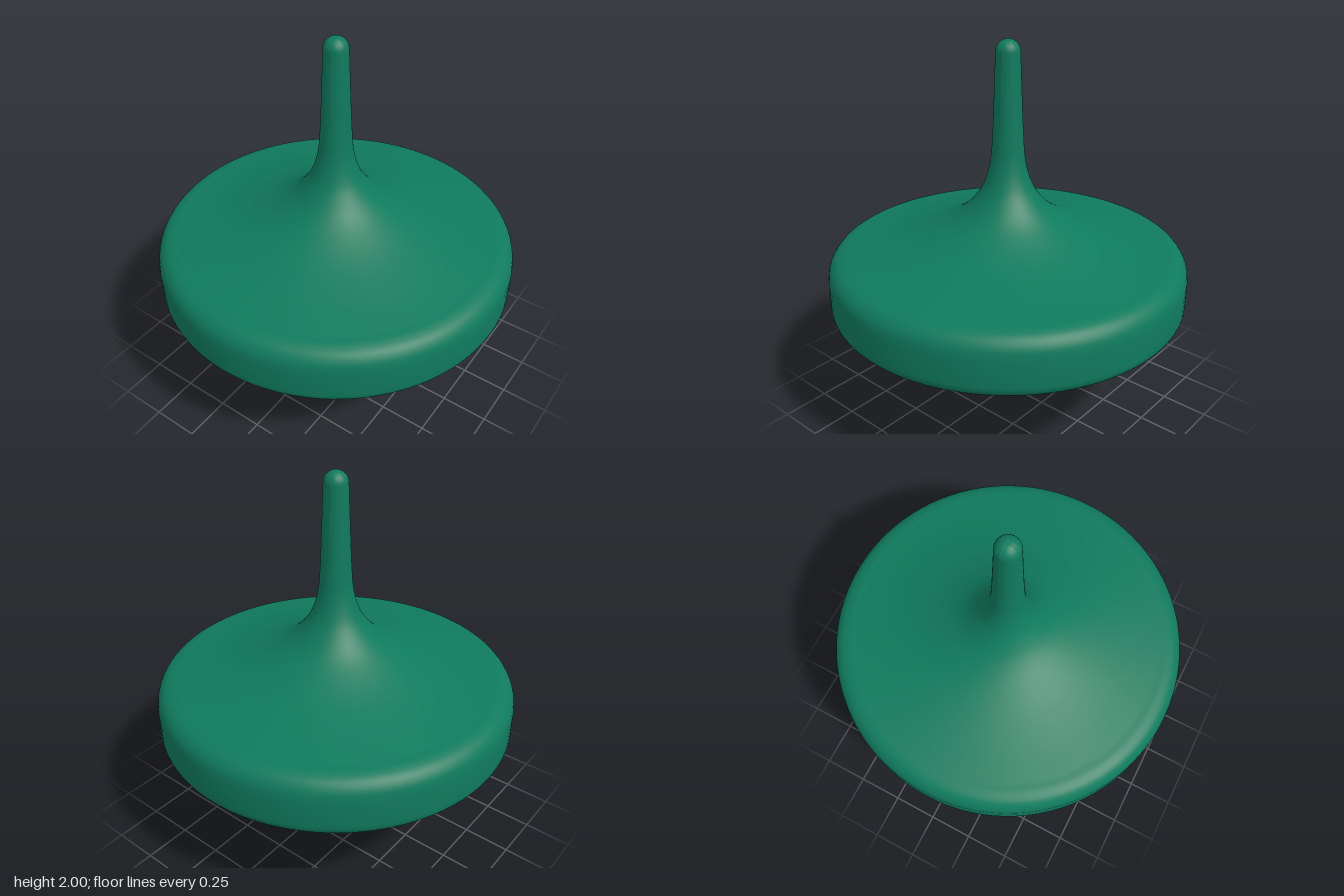
import * as THREE from 'three';
import { toCreasedNormals } from 'three/addons/utils/BufferGeometryUtils.js';

const SEGMENTS = 96;
const vectors = (pairs) => pairs.map(([r, y]) => new THREE.Vector2(r, y));
// smooth run of a profile through a few [radius, height] pairs
const smooth = (pairs, n) => new THREE.SplineCurve(vectors(pairs)).getPoints(n);
// rounded corner: quarter ellipse about (r, y)
const arc = (r, y, rx, ry, from, to, n = 10) =>
  new THREE.EllipseCurve(r, y, rx, ry, from, to, to < from).getPoints(n);

function turned(name, points, material) {
  // drop repeated points where runs meet
  const profile = points.filter((p, i) => i === 0 || p.distanceTo(points[i - 1]) > 1e-4);
  const geometry = toCreasedNormals(new THREE.LatheGeometry(profile, SEGMENTS), 0.6);
  const mesh = new THREE.Mesh(geometry, material);
  mesh.name = name;
  return mesh;
}

export function createModel() {
  const green = new THREE.MeshStandardMaterial({ color: 0x0f7a5c });
  green.name = 'green';
  const silver = new THREE.MeshStandardMaterial({ color: 0xbcbcbc });
  silver.name = 'silver';
  const top = new THREE.Group();
  top.name = 'spinningTop';

  // flywheel: neck, hollow underside, rounded rim, sweeping upper face and stem
  top.add(turned('flywheelAndStem', [
    ...smooth([[0.29, 0.47], [0.3, 0.54], [0.323, 0.6], [0.365, 0.66], [0.44, 0.71],
      [0.55, 0.735], [0.65, 0.725], [0.72, 0.685], [0.76, 0.625], [0.79, 0.597], [0.82, 0.593]], 50),
    ...arc(0.882, 0.663, 0.07, 0.07, -Math.PI / 2, 0),
    ...smooth([[0.952, 0.8], [0.942, 0.85], [0.912, 0.89], [0.87, 0.909], [0.83, 0.915]], 14),
    ...smooth([[0.83, 0.915], [0.65, 0.95], [0.47, 1.0], [0.33, 1.06], [0.23, 1.125], [0.155, 1.21],
      [0.115, 1.29], [0.09, 1.39], [0.079, 1.52], [0.071, 1.7], [0.062, 1.935]], 60),
    ...arc(0, 1.938, 0.062, 0.062, 0, Math.PI / 2),
  ], green));

  // flat metal washer with a bevelled lower edge
  top.add(turned('washer', vectors([[0.25, 0.405], [0.385, 0.405], [0.44, 0.424],
    [0.44, 0.487], [0.25, 0.487]]), silver));

  // concave foot below the washer
  top.add(turned('foot', [
    ...vectors([[0, 0.066], [0.07, 0.066]]),
    ...smooth([[0.07, 0.066], [0.092, 0.077], [0.105, 0.105], [0.132, 0.168], [0.18, 0.237],
      [0.24, 0.292], [0.32, 0.332], [0.355, 0.355], [0.371, 0.385], [0.373, 0.408]], 40),
    ...vectors([[0.2, 0.408]]),
  ], green));

  // ball point the top spins on
  const ball = new THREE.Mesh(new THREE.SphereGeometry(0.071, 40, 24), silver);
  ball.name = 'ballTip';
  ball.position.y = 0.071;
  top.add(ball);
  return top;
}
